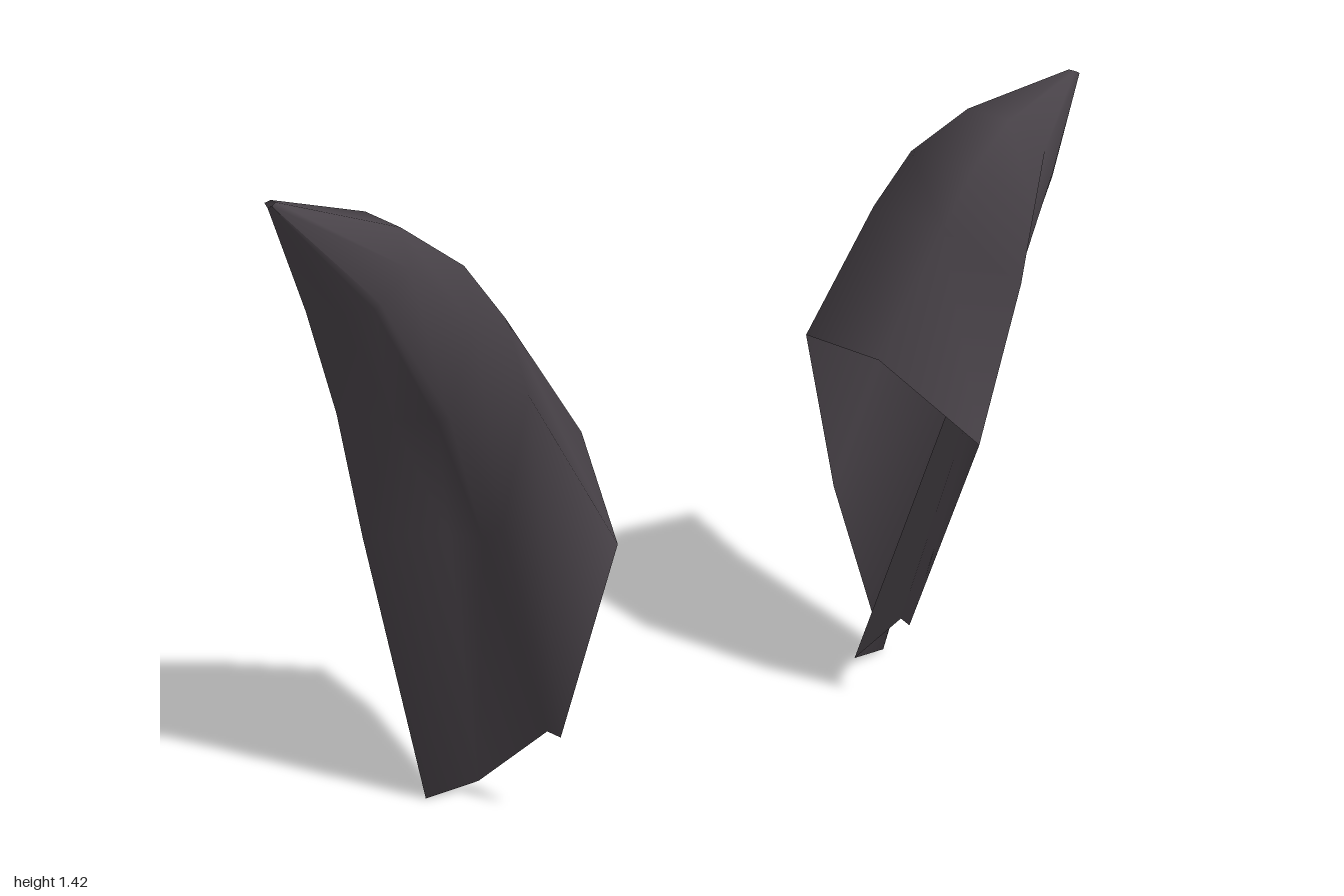
import * as THREE from 'three';

// Ribs of the left pad, each running from the pointed tip to the open rim.
const ribs = [
  // outer spine
  [[1, 1.415, -0.005], [0.93, 1.2, -0.02], [0.86, 0.97, -0.06], [0.795, 0.68, -0.11], [0.64, 0.0, -0.19]],
  // shallow fold on the outer wall
  [[1, 1.415, 0.005], [0.89, 1.2, 0.04], [0.79, 0.97, 0.04], [0.66, 0.69, 0.0], [0.525, 0.02, -0.16]],
  // lower corner of the front edge, two points wide
  [[1, 1.42, 0.01], [0.85, 1.22, 0.1], [0.735, 0.98, 0.11], [0.63, 0.7, 0.085], [0.48, 0.22, 0.06]],
  [[1, 1.42, 0.015], [0.84, 1.23, 0.11], [0.72, 0.99, 0.135], [0.61, 0.74, 0.13], [0.472, 0.22, 0.1]],
  // front corner
  [[1, 1.42, 0.015], [0.79, 1.295, 0.135], [0.7, 1.19, 0.205], [0.62, 1.05, 0.26], [0.465, 0.73, 0.318]],
  // inner ridge, front and back
  [[0.99, 1.425, 0.01], [0.76, 1.35, 0.05], [0.64, 1.26, 0.07], [0.555, 1.14, 0.075], [0.386, 0.87, 0.07]],
  [[0.99, 1.425, -0.01], [0.76, 1.35, -0.09], [0.64, 1.26, -0.14], [0.555, 1.14, -0.165], [0.386, 0.86, -0.19]],
  // back corner
  [[1, 1.42, -0.015], [0.89, 1.26, -0.115], [0.8, 1.08, -0.18], [0.71, 0.87, -0.24], [0.575, 0.405, -0.315]],
];

// Skins the ribs into a hollow shell that is open towards the body.
function padGeometry(side) {
  const rows = ribs[0].length;
  const positions = [];
  const index = [];
  ribs.forEach((rib) => rib.forEach(([x, y, z]) => positions.push(side * x, y, z)));
  for (let i = 0; i < ribs.length; i++) {
    const next = (i + 1) % ribs.length;
    for (let j = 0; j < rows - 1; j++) {
      const a = i * rows + j;
      const b = next * rows + j;
      if (side > 0) index.push(a, a + 1, b, b, a + 1, b + 1);
      else index.push(a, b, a + 1, b, b + 1, a + 1);
    }
  }
  const geometry = new THREE.BufferGeometry();
  geometry.setAttribute('position', new THREE.Float32BufferAttribute(positions, 3));
  geometry.setIndex(index);
  geometry.computeVertexNormals();
  return geometry;
}

export function createModel() {
  const model = new THREE.Group();
  model.name = 'shoulderPads';
  const charcoal = new THREE.MeshStandardMaterial({ color: 0x494349, side: THREE.DoubleSide });
  charcoal.name = 'charcoal';

  // One pad for each shoulder
  for (const [name, side] of [['leftShoulderPad', 1], ['rightShoulderPad', -1]]) {
    const pad = new THREE.Mesh(padGeometry(side), charcoal);
    pad.name = name;
    model.add(pad);
  }
  return model;
}
